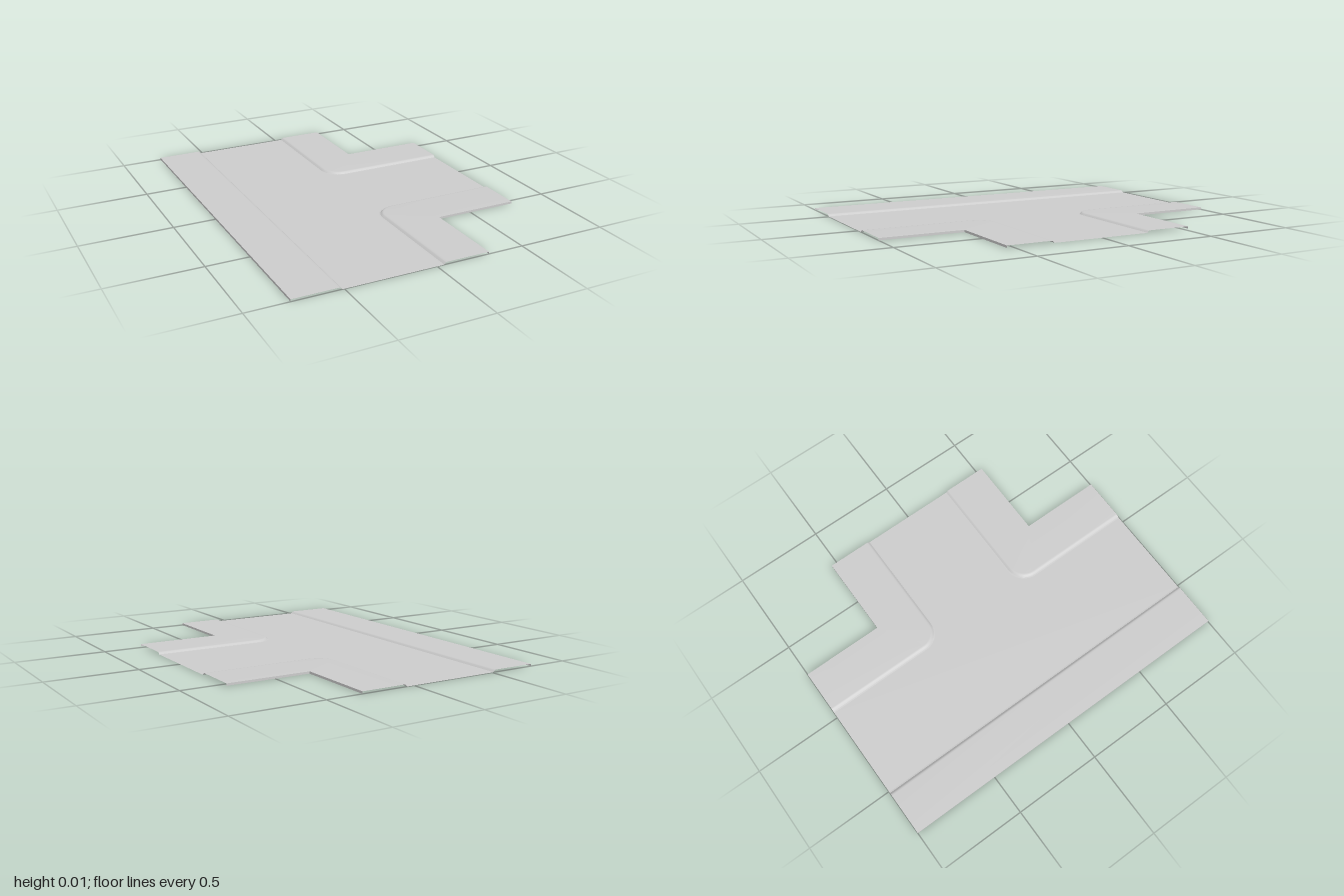
import * as THREE from 'three';
import { toCreasedNormals } from 'three/addons/utils/BufferGeometryUtils.js';

const ROAD_X = -0.235;   // centre line of the main road
const HALF = 0.535;      // half width including pavement
const END_X = 0.77;      // end of the side road
const HEIGHT = 0.012;    // kerb height
const ARC = 10;          // segments per rounded corner

// kerb profile: [distance from road centre line, height]
const KERB = [[0.268, 0], [0.275, 0.001], [0.284, 0.0095], [0.288, 0.0115], [0.296, HEIGHT]];
const ROAD_EDGE = KERB[0][0];
const CORNER = 0.385;    // distance of the corner arc centre from both centre lines

const material = new THREE.MeshStandardMaterial({ color: 0xcccccc, side: THREE.DoubleSide });

// line parallel to the kerb at distance d, rounding the junction corner (side = +1 or -1 in z)
function cornerLine(d, side) {
  const r = CORNER - d;
  const pts = [[ROAD_X + d, side]];
  for (let i = 0; i <= ARC; i++) {
    const a = (i / ARC) * Math.PI / 2;
    pts.push([ROAD_X + CORNER - r * Math.cos(a), side * (CORNER - r * Math.sin(a))]);
  }
  pts.push([END_X, side * d]);
  return pts;
}

// outer pavement edge with a square corner, same point count as cornerLine
function outerCornerLine(side) {
  const pts = [[ROAD_X + HALF, side]];
  for (let i = 0; i <= ARC; i++) pts.push([ROAD_X + HALF, side * HALF]);
  pts.push([END_X, side * HALF]);
  return pts;
}

// skin a surface through rows of [x, z] points, each row at its own height
function loft(name, rows, flip) {
  const pos = [];
  const P = rows.map(({ line, y }) => line.map(([x, z]) => new THREE.Vector3(x, y, z)));
  const tri = (a, b, c) => {
    if (new THREE.Triangle(a, b, c).getArea() < 1e-9) return;
    for (const p of flip ? [a, c, b] : [a, b, c]) pos.push(p.x, p.y, p.z);
  };
  for (let i = 0; i < P.length - 1; i++) {
    for (let j = 0; j < P[i].length - 1; j++) {
      tri(P[i][j], P[i + 1][j], P[i][j + 1]);
      tri(P[i + 1][j], P[i + 1][j + 1], P[i][j + 1]);
    }
  }
  const geo = new THREE.BufferGeometry();
  geo.setAttribute('position', new THREE.Float32BufferAttribute(pos, 3));
  const mesh = new THREE.Mesh(toCreasedNormals(geo, 0.5), material);
  mesh.name = name;
  return mesh;
}

// kerb, flat pavement and outer skirt in one section
function pavement(name, lineAt, outer, flip) {
  const rows = KERB.map(([d, y]) => ({ line: lineAt(d), y }));
  rows.push({ line: outer, y: HEIGHT }, { line: outer, y: 0 });
  return loft(name, rows, flip);
}

export function createModel() {
  const group = new THREE.Group();
  group.name = 'roadJunction';

  // T-shaped road surface
  const outline = [
    [ROAD_X - ROAD_EDGE, -1], ...cornerLine(ROAD_EDGE, -1),
    ...cornerLine(ROAD_EDGE, 1).reverse(), [ROAD_X - ROAD_EDGE, 1],
  ];
  const shape = new THREE.Shape(outline.map(([x, z]) => new THREE.Vector2(x, -z)));
  const road = new THREE.Mesh(new THREE.ShapeGeometry(shape).rotateX(-Math.PI / 2), material);
  road.name = 'roadSurface';
  group.add(road);

  // straight pavement opposite the side road
  const straight = d => [[ROAD_X - d, -1], [ROAD_X - d, 1]];
  group.add(pavement('straightPavement', straight, straight(HALF), false));

  // two pavements turning into the side road
  for (const side of [1, -1]) {
    group.add(pavement(side > 0 ? 'frontCornerPavement' : 'backCornerPavement',
      d => cornerLine(d, side), outerCornerLine(side), side < 0));
  }
  return group;
}
